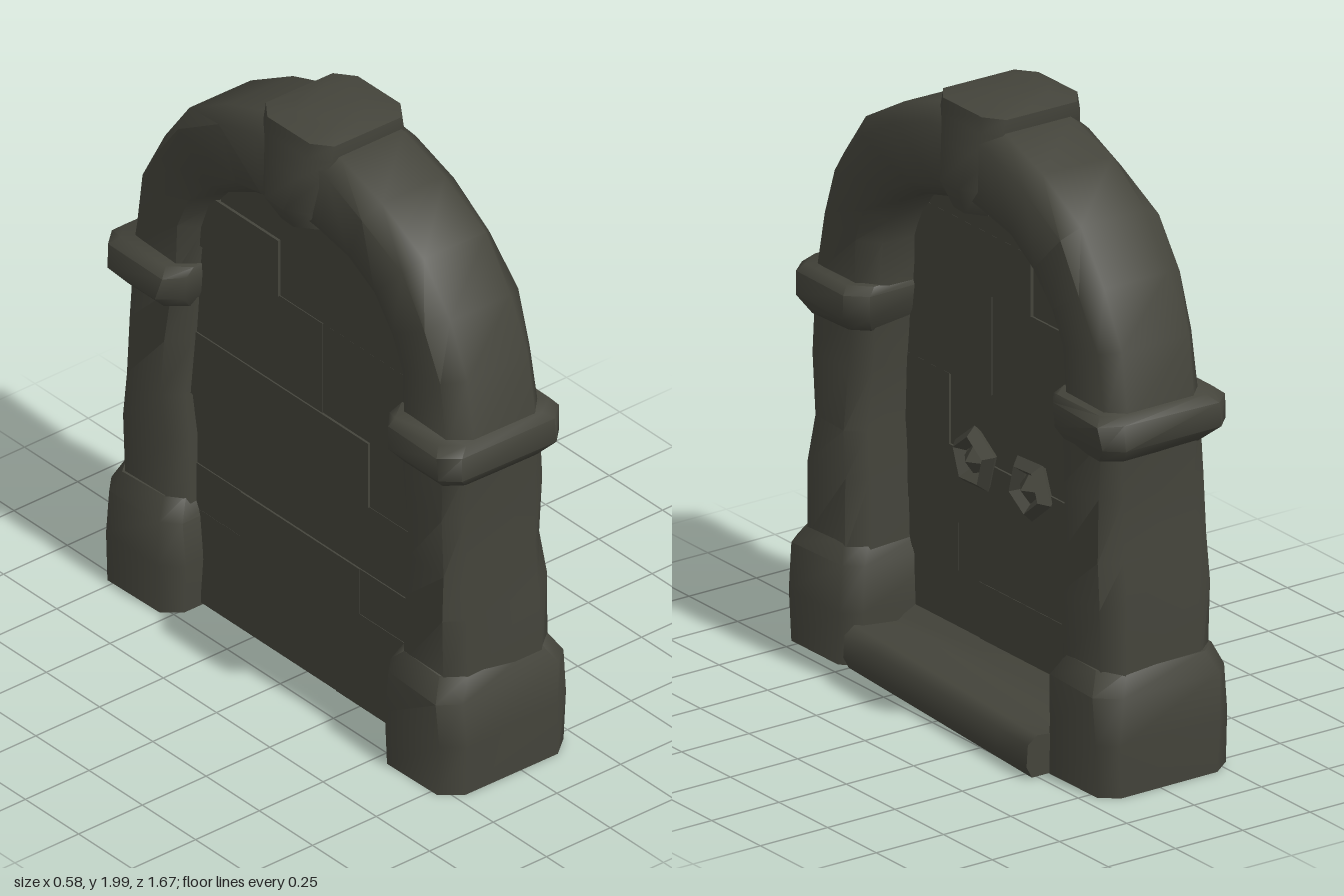
import * as THREE from 'three';
import { toCreasedNormals } from 'three/addons/utils/BufferGeometryUtils.js';

const stone = new THREE.MeshStandardMaterial({ color: 0x44443b });
stone.name = 'darkStone';

// small seeded noise for worn edges
let seed = 7;
const wobble = (amount) => {
  seed = (seed * 16807) % 2147483647;
  return (seed / 2147483647 - 0.5) * 2 * amount;
};

// chamfered ring between an inner and an outer point [z, y], spanning x0..x1
function ring({ inner, outer, x0, x1, cu = 0.05, cx = 0.06, worn = 0.008 }) {
  const width = Math.hypot(outer[0] - inner[0], outer[1] - inner[1]);
  const c = cu / width;
  return [
    [c, x0], [1 - c, x0], [1, x0 + cx], [1, x1 - cx],
    [1 - c, x1], [c, x1], [0, x1 - cx], [0, x0 + cx],
  ].map(([u, x]) => [
    x + wobble(worn),
    inner[1] + (outer[1] - inner[1]) * u,
    inner[0] + (outer[0] - inner[0]) * u + wobble(worn),
  ]);
}

// skin a list of sections and close both ends
function loft(name, sections) {
  const rings = sections.map(ring);
  const n = rings[0].length;
  const index = [];
  for (let s = 0; s < rings.length - 1; s++) {
    for (let i = 0; i < n; i++) {
      const j = (i + 1) % n;
      const a = s * n + i, b = s * n + j, c = a + n, d = b + n;
      index.push(a, b, d, a, d, c);
    }
  }
  const last = (rings.length - 1) * n;
  for (let i = 1; i < n - 1; i++) {
    index.push(0, i + 1, i);
    index.push(last, last + i, last + i + 1);
  }
  const g = new THREE.BufferGeometry();
  g.setAttribute('position', new THREE.Float32BufferAttribute(rings.flat(2), 3));
  g.setIndex(index);
  return part(name, toCreasedNormals(g, 0.95));
}

function part(name, geometry) {
  const mesh = new THREE.Mesh(geometry, stone);
  mesh.name = name;
  return mesh;
}

// upright sections from rows of [y, zInner, zOuter, x0, x1]; side -1 mirrors in z
function upright(rows, side, extra = {}) {
  const list = rows.map(([y, zi, zo, x0, x1]) => ({
    inner: [zi * side, y], outer: [zo * side, y], x0, x1, ...extra,
  }));
  return side < 0 ? list.reverse() : list;
}

export function createModel() {
  const model = new THREE.Group();
  model.name = 'stoneArchway';

  // pillars with flared bases and collars
  const base = [
    [0.01, 0.49, 0.83, -0.28, 0.205], [0.18, 0.48, 0.83, -0.28, 0.21],
    [0.33, 0.49, 0.825, -0.28, 0.205], [0.4, 0.52, 0.79, -0.24, 0.17],
  ];
  const shaft = [
    [0.36, 0.51, 0.795, -0.24, 0.17], [0.6, 0.51, 0.795, -0.235, 0.17],
    [0.75, 0.525, 0.785, -0.235, 0.165], [0.95, 0.51, 0.78, -0.23, 0.16],
    [1.14, 0.5, 0.785, -0.225, 0.16],
  ];
  const collar = [
    [1.08, 0.51, 0.785, -0.24, 0.16], [1.13, 0.49, 0.825, -0.28, 0.19],
    [1.21, 0.48, 0.825, -0.28, 0.195], [1.235, 0.49, 0.8, -0.25, 0.17],
  ];
  for (const side of [1, -1]) {
    const label = side > 0 ? 'front' : 'back';
    model.add(
      loft(label + 'PillarBase', upright(base, side)),
      loft(label + 'PillarShaft', upright(shaft, side)),
      loft(label + 'PillarCollar', upright(collar, side)),
    );
  }

  // curved arch, given as inner and outer points [z, y] on one half
  const half = [
    [[0.49, 1.2], [0.8, 1.2]], [[0.475, 1.37], [0.755, 1.42]],
    [[0.44, 1.46], [0.67, 1.6]], [[0.36, 1.55], [0.55, 1.76]],
    [[0.24, 1.61], [0.36, 1.87]], [[0.12, 1.64], [0.17, 1.935]],
    [[0, 1.66], [0, 1.96]],
  ];
  const mirrored = half.slice(0, -1).reverse()
    .map((pair) => pair.map(([z, y]) => [-z, y]));
  model.add(loft('arch', [...half, ...mirrored].map(([inner, outer]) => ({
    inner, outer, x0: -0.21, x1: 0.15,
  }))));

  // keystone, widening upward and swelling out at its lower faces
  const key = [
    [1.65, 0.09, -0.22, 0.15], [1.74, 0.105, -0.275, 0.19],
    [1.86, 0.135, -0.245, 0.165], [1.93, 0.16, -0.225, 0.145],
    [1.98, 0.16, -0.215, 0.135], [2.0, 0.1, -0.15, 0.05],
  ];
  model.add(loft('keystone', key.map(([y, w, x0, x1]) => ({
    inner: [-w, y], outer: [w, y], x0, x1, cu: 0.06, cx: 0.045, worn: 0.003,
  }))));

  // recessed wall: staggered brick rows [bottom, top, half width, joints]
  const rows = [
    [0.02, 0.35, 0.56, [0.15]], [0.35, 0.51, 0.56, [-0.3, 0.26]],
    [0.51, 0.75, 0.56, [0.05]], [0.75, 0.98, 0.56, [-0.25, 0.3]],
    [0.98, 1.3, 0.54, [0.08]], [1.3, 1.5, 0.5, [-0.12]], [1.5, 1.72, 0.4, []],
  ];
  const wall = new THREE.Group();
  wall.name = 'brickWall';
  for (const [y0, y1, w, joints] of rows) {
    const ends = [-w, ...joints, w];
    for (let i = 0; i < ends.length - 1; i++) {
      const brick = part('brick', new THREE.BoxGeometry(0.12, y1 - y0, ends[i + 1] - ends[i]));
      brick.position.set(-0.095 + wobble(0.007), (y0 + y1) / 2, (ends[i] + ends[i + 1]) / 2);
      wall.add(brick);
    }
  }
  model.add(wall);

  // doorstep with a rounded lip, deeper toward the back end
  const profile = [
    [-0.1, 0.012], [0.27, 0.012], [0.29, 0.05], [0.285, 0.12],
    [0.25, 0.145], [0.1, 0.13], [0.0, 0.15], [-0.1, 0.2],
  ];
  const step = new THREE.ExtrudeGeometry(
    new THREE.Shape(profile.map(([x, y]) => new THREE.Vector2(x, y))),
    { depth: 1.04, steps: 6, bevelEnabled: false },
  );
  step.translate(0, 0, -0.54);
  const p = step.attributes.position;
  for (let i = 0; i < p.count; i++) {
    if (p.getX(i) > 0.05) p.setX(i, p.getX(i) - 0.068 * (p.getZ(i) + 0.54));
  }
  model.add(part('doorstep', toCreasedNormals(step, 0.9)));

  // pair of faceted bosses: a rough ring around a small gem
  for (const [z, turn] of [[0.145, 0.35], [-0.14, 1.0]]) {
    const boss = new THREE.Group();
    boss.name = 'wallBoss';
    const rim = part('bossRim', toCreasedNormals(new THREE.TorusGeometry(0.078, 0.03, 4, 5), 0.3));
    const gem = part('bossGem', new THREE.OctahedronGeometry(0.055));
    gem.scale.z = 0.7;
    boss.add(rim, gem);
    boss.rotation.set(0, Math.PI / 2, 0);
    rim.rotation.z = turn;
    boss.position.set(-0.015, 0.755, z);
    model.add(boss);
  }

  return model;
}
